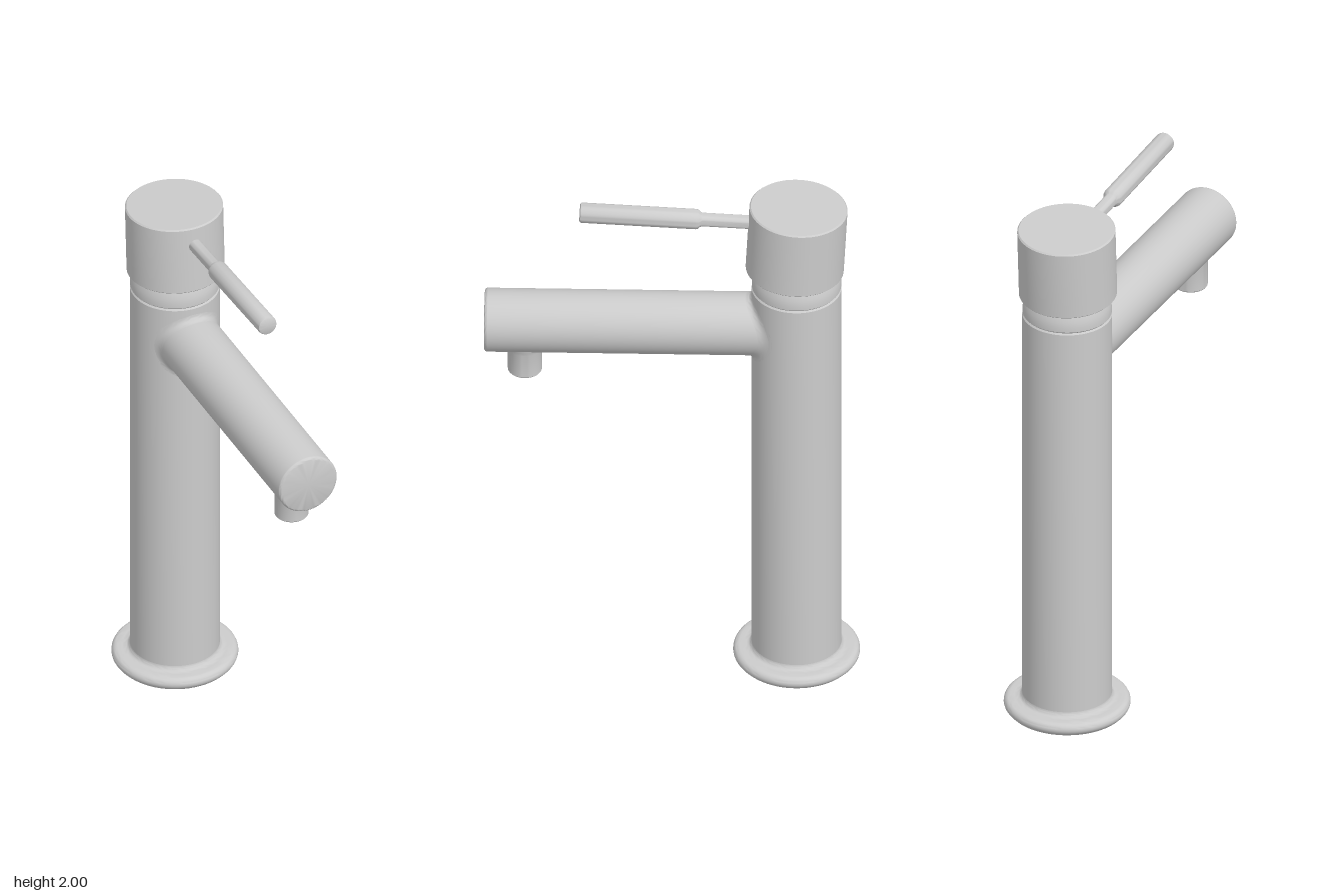
import * as THREE from 'three';
import { toCreasedNormals } from 'three/addons/utils/BufferGeometryUtils.js';

const AXIS_Z = -0.45;   // centre line of the column
const BODY_R = 0.163;
const SPOUT_R = 0.116;
const SPOUT_Y = 1.472;

const material = new THREE.MeshStandardMaterial({ color: 0xcccccc });

function addMesh(parent, name, geometry, x = 0, y = 0, z = 0) {
  const mesh = new THREE.Mesh(geometry, material);
  mesh.name = name;
  mesh.position.set(x, y, z);
  parent.add(mesh);
  return mesh;
}

// Turned part from [radius, height] pairs, listed bottom to top
function turned(profile, segments = 64) {
  const points = profile.map(([r, h]) => new THREE.Vector2(r, h));
  return toCreasedNormals(new THREE.LatheGeometry(points, segments), 0.65);
}

// Quarter-round corner points around (r, h), between two angles
function round(r, h, radius, from, to, steps = 5) {
  return Array.from({ length: steps + 1 }, (_, i) => {
    const a = from + (to - from) * i / steps;
    return [r + radius * Math.cos(a), h + radius * Math.sin(a)];
  });
}

// Blend surface where the round spout leaves the round column
function spoutFillet(size) {
  const around = 64, across = 6, pos = [], index = [];
  for (let i = 0; i <= around; i++) {
    const a = i / around * Math.PI * 2;
    const dir = new THREE.Vector3(Math.cos(a), Math.sin(a), 0);
    const onBody = (r) => Math.sqrt(BODY_R ** 2 - (r * dir.x) ** 2);
    const at = (r, z) => dir.clone().multiplyScalar(r).setZ(z);
    const curve = new THREE.QuadraticBezierCurve3(
      at(SPOUT_R + size, onBody(SPOUT_R + size)),
      at(SPOUT_R, onBody(SPOUT_R)),
      at(SPOUT_R, onBody(SPOUT_R) + size));
    for (const p of curve.getPoints(across)) pos.push(p.x, p.y, p.z);
  }
  const row = across + 1;
  for (let i = 0; i < around; i++) {
    for (let j = 0; j < across; j++) {
      const a = i * row + j, b = a + row;
      index.push(a, b, b + 1, a, b + 1, a + 1);
    }
  }
  const geometry = new THREE.BufferGeometry();
  geometry.setAttribute('position', new THREE.Float32BufferAttribute(pos, 3));
  geometry.setIndex(index);
  return toCreasedNormals(geometry, 0.8);
}

export function createModel() {
  const model = new THREE.Group();
  model.name = 'basinTap';
  const PI = Math.PI;

  // Rounded base flange with a small cove up to the column
  addMesh(model, 'baseFlange', turned([
    [0, 0], [0.215, 0],
    ...round(0.207, 0.025, 0.023, -PI / 3, PI / 2, 8),
    [0.19, 0.048],
    ...round(0.181, 0.066, 0.018, -PI / 2, -PI, 4),
  ]), 0, 0, AXIS_Z);

  // Column, with a fine bevel at the top seam
  addMesh(model, 'column', turned([
    [BODY_R, 0.04], [BODY_R, 1.637], [0.158, 1.643], [0, 1.643],
  ]), 0, 0, AXIS_Z);

  // Domed collar under the handle
  addMesh(model, 'collar', turned([
    [0.157, 1.642], [0.162, 1.648], [0.162, 1.665], [0.159, 1.685],
    [0.153, 1.705], [0.144, 1.727], [0.13, 1.745], [0, 1.755],
  ]), 0, 0, AXIS_Z);

  // Spout pointing forward
  const spoutEnd = 0.68 - AXIS_Z;
  const spout = turned([
    [SPOUT_R, 0.06],
    ...round(SPOUT_R - 0.012, spoutEnd - 0.012, 0.012, 0, PI / 2),
    [0, spoutEnd],
  ]);
  addMesh(model, 'spout', spout.rotateX(PI / 2), 0, SPOUT_Y, AXIS_Z);
  addMesh(model, 'spoutFillet', spoutFillet(0.023), 0, SPOUT_Y, AXIS_Z);

  // Hollow outlet nozzle under the spout tip
  addMesh(model, 'outletNozzle', turned([
    [0, 1.3], [0.045, 1.3], [0.045, 1.258], [0.048, 1.255], [0.058, 1.255],
    [0.062, 1.26], [0.062, 1.355], [0.066, 1.368], [0.07, 1.385],
  ], 40), 0, 0, 0.534);

  // Handle: cap and lever share a slight backward tilt
  const handle = new THREE.Group();
  handle.name = 'handle';
  handle.position.set(0, 1.855, AXIS_Z);
  handle.rotation.x = -0.052;
  model.add(handle);

  addMesh(handle, 'handleCap', turned([
    [0, -0.105], [0.163, -0.105], [0.163, -0.136], [0.174, -0.136],
    [0.178, -0.132], [0.178, 0.131], [0.173, 0.136], [0, 0.136],
  ]));

  const lever = turned([
    [0.025, 0.15], [0.025, 0.345], [0.028, 0.352], [0.035, 0.36], [0.037, 0.368],
    [0.037, 0.781], [0.035, 0.787], [0.03, 0.79], [0, 0.79],
  ], 32);
  addMesh(handle, 'lever', lever.rotateX(PI / 2), 0, 0.06, 0);

  return model;
}
